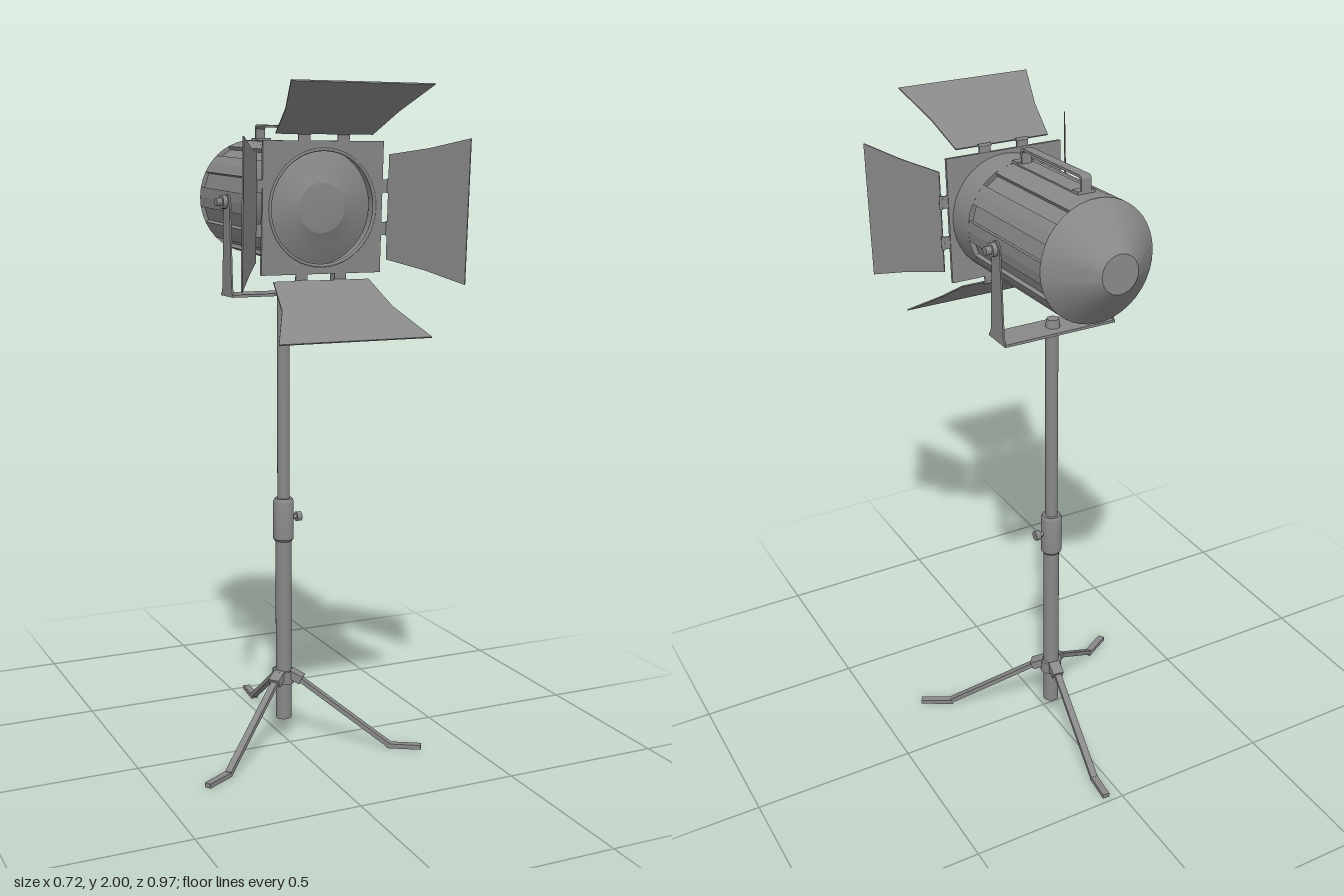
import * as THREE from 'three';
import { toCreasedNormals } from 'three/addons/utils/BufferGeometryUtils.js';

const material = new THREE.MeshStandardMaterial({ color: 0x888888, side: THREE.DoubleSide });

function add(parent, name, geometry, x = 0, y = 0, z = 0) {
  const mesh = new THREE.Mesh(geometry, material);
  mesh.name = name;
  mesh.position.set(x, y, z);
  parent.add(mesh);
  return mesh;
}

function group(parent, name, x = 0, y = 0, z = 0) {
  const g = new THREE.Group();
  g.name = name;
  g.position.set(x, y, z);
  parent.add(g);
  return g;
}

const box = (w, h, d) => new THREE.BoxGeometry(w, h, d);
const tube = (rTop, rBottom, h, n = 24, open = false) => new THREE.CylinderGeometry(rTop, rBottom, h, n, 1, open);
const extrude = (shape, depth) => new THREE.ExtrudeGeometry(shape, { depth, bevelEnabled: false, curveSegments: 24 });
const smooth = (g) => toCreasedNormals(g, 0.5);
const points = (list) => list.map(([x, y]) => new THREE.Vector2(x, y));

// Flat bar between two points of the parent's space
function beam(parent, name, a, b, w, h) {
  const from = new THREE.Vector3(...a), to = new THREE.Vector3(...b);
  const mesh = add(parent, name, box(w, h, from.distanceTo(to)));
  mesh.position.copy(from).lerp(to, 0.5);
  mesh.quaternion.setFromRotationMatrix(new THREE.Matrix4().lookAt(to, from, mesh.up));
}

function buildHead(parent) {
  const R = 0.173;
  const head = group(parent, 'lampHead', 0, 1.682, -0.05);
  head.rotation.x = 0.045;

  // Housing: a faceted drum with shallow slots, left plain under the handle
  const outline = [];
  for (let i = 0; i < 10; i++) {
    const inner = i === 0 ? R : R - 0.012;
    for (const [deg, r] of [[-8, R], [-8, inner], [8, inner], [8, R], [18, R]]) {
      const a = THREE.MathUtils.degToRad(90 + i * 36 + deg);
      outline.push([r * Math.cos(a), r * Math.sin(a)]);
    }
  }
  add(head, 'groovedHousing', extrude(new THREE.Shape(points(outline)), 0.413), 0, 0, -0.237);
  add(head, 'frontCollar', tube(R, R, 0.104, 40, true).rotateX(Math.PI / 2), 0, 0, 0.228);
  add(head, 'rearCap', smooth(tube(R, 0.055, 0.115, 40).rotateX(Math.PI / 2)), 0, 0, -0.2945);

  // Square front frame with a round opening
  const frame = new THREE.Shape(points([[-0.184, -0.184], [0.184, -0.184], [0.184, 0.184], [-0.184, 0.184]]));
  frame.holes.push(new THREE.Path().absarc(0, 0, 0.16, 0, Math.PI * 2, true));
  add(head, 'frontFrame', extrude(frame, 0.01), 0, 0, 0.275);
  add(head, 'lensRing', new THREE.TorusGeometry(0.161, 0.005, 8, 48), 0, 0, 0.283);

  // Stepped lens: a sloping rim around a flatter centre
  const lens = [[0.165, 0.24], [0.115, 0.262], [0.072, 0.277], [0.07, 0.278], [0, 0.283]];
  add(head, 'lens', toCreasedNormals(new THREE.LatheGeometry(points(lens), 40).rotateX(Math.PI / 2), 0.2));

  // Four flared barn doors on paired hinges: half width and length of the outer edge
  const doors = { top: [0.209, 0.272], right: [0.199, 0.26], bottom: [0.23, 0.272], left: [0.199, 0.26] };
  Object.entries(doors).forEach(([side, [far, length]], k) => {
    const door = group(head, side + 'BarnDoor');
    door.rotation.z = k * Math.PI / 2;
    const leaf = new THREE.Shape(points([[-0.148, 0], [0.148, 0], [0.169, 0.13], [far, length], [-far, length], [-0.169, 0.13]]));
    add(door, 'doorLeaf', extrude(leaf, 0.004), 0, 0.205, 0.284).rotation.x = Math.PI / 3;
    for (const x of [-0.06, 0.06]) {
      add(door, 'hingeTab', box(0.036, 0.026, 0.005), x, 0.193, 0.28);
      add(door, 'hingePin', tube(0.005, 0.005, 0.04, 10).rotateZ(Math.PI / 2), x, 0.205, 0.281);
    }
  });

  // Carrying handle: a flat strap bent into a low bridge
  const handle = group(head, 'handle');
  add(handle, 'handlePlate', box(0.052, 0.006, 0.365), 0, 0.172, -0.0025);
  const strap = new THREE.Shape();
  strap.moveTo(-0.185, 0.17);
  strap.lineTo(-0.185, 0.208);
  strap.quadraticCurveTo(-0.185, 0.22, -0.173, 0.22);
  strap.lineTo(0.136, 0.22);
  strap.quadraticCurveTo(0.148, 0.22, 0.148, 0.208);
  strap.lineTo(0.148, 0.17);
  strap.lineTo(0.141, 0.17);
  strap.lineTo(0.141, 0.206);
  strap.lineTo(0.134, 0.213);
  strap.lineTo(-0.171, 0.213);
  strap.lineTo(-0.178, 0.206);
  strap.lineTo(-0.178, 0.17);
  add(handle, 'handleStrap', extrude(strap, 0.03).rotateY(-Math.PI / 2), 0.015, 0, 0);
  for (const z of [-0.17, 0.164]) add(handle, 'handleFoot', box(0.052, 0.006, 0.03), 0, 0.177, z);
}

function buildYoke(parent) {
  const yoke = group(parent, 'yoke', 0, 1.682, -0.05);
  // Tapered arm with a rounded top and flared foot, drawn in the side plane
  const arm = new THREE.Shape();
  arm.moveTo(-0.046, -0.275);
  arm.lineTo(0.046, -0.275);
  arm.lineTo(0.037, -0.25);
  arm.lineTo(0.023, 0);
  arm.absarc(0, 0, 0.023, 0, Math.PI, false);
  arm.lineTo(-0.037, -0.25);
  for (const s of [-1, 1]) {
    add(yoke, 'yokeArm', extrude(arm, 0.005).rotateY(Math.PI / 2), s * 0.1765 - 0.0025);
    add(yoke, 'pivotKnob', tube(0.02, 0.02, 0.014, 16).rotateZ(Math.PI / 2), s * 0.188);
    add(yoke, 'pivotBolt', tube(0.012, 0.012, 0.04, 12).rotateZ(Math.PI / 2), s * 0.192);
  }
  add(yoke, 'yokeBase', box(0.358, 0.008, 0.098), 0, -0.272, 0);
  add(yoke, 'yokeNut', tube(0.018, 0.022, 0.025, 12), 0, -0.256, 0);
}

function buildStand(parent) {
  const stand = group(parent, 'stand', 0, 0, -0.045);
  add(stand, 'upperPole', tube(0.019, 0.019, 0.68), 0, 1.07, 0);
  add(stand, 'lowerPole', tube(0.0245, 0.0245, 0.59), 0, 0.363, 0);

  // Height clamp and its thumb screw
  const clamp = [[0, 0.645], [0.027, 0.645], [0.032, 0.652], [0.032, 0.77], [0.027, 0.78], [0, 0.78]];
  add(stand, 'heightClamp', smooth(new THREE.LatheGeometry(points(clamp), 24)));
  add(stand, 'clampScrew', tube(0.008, 0.008, 0.03, 10).rotateZ(Math.PI / 2), 0.04, 0.717, 0);
  add(stand, 'clampKnob', tube(0.015, 0.015, 0.016, 12).rotateZ(Math.PI / 2), 0.05, 0.717, 0);

  // Tripod: each leg runs from the hub to a bend, then along the floor
  add(stand, 'legHub', tube(0.034, 0.034, 0.04), 0, 0.205, 0);
  for (const [bx, bz, fx, fz] of [[-0.268, 0.208, -0.354, 0.258], [0.268, 0.208, 0.354, 0.258], [0.042, -0.35, 0.05, -0.438]]) {
    const leg = group(stand, 'tripodLeg');
    const d = Math.hypot(bx, bz), ux = bx / d, uz = bz / d;
    beam(leg, 'hubLug', [ux * 0.02, 0.217, uz * 0.02], [ux * 0.06, 0.198, uz * 0.06], 0.036, 0.026);
    beam(leg, 'legBar', [ux * 0.03, 0.215, uz * 0.03], [bx, 0.01, bz], 0.021, 0.014);
    beam(leg, 'legFoot', [bx - ux * 0.006, 0.007, bz - uz * 0.006], [fx, 0.007, fz], 0.021, 0.014);
  }
}

export function createModel() {
  const model = new THREE.Group();
  model.name = 'studioSpotlight';
  const lamp = group(model, 'lampAssembly', -0.002, 0, 0);
  buildHead(lamp);
  buildYoke(lamp);
  buildStand(lamp);
  return model;
}
